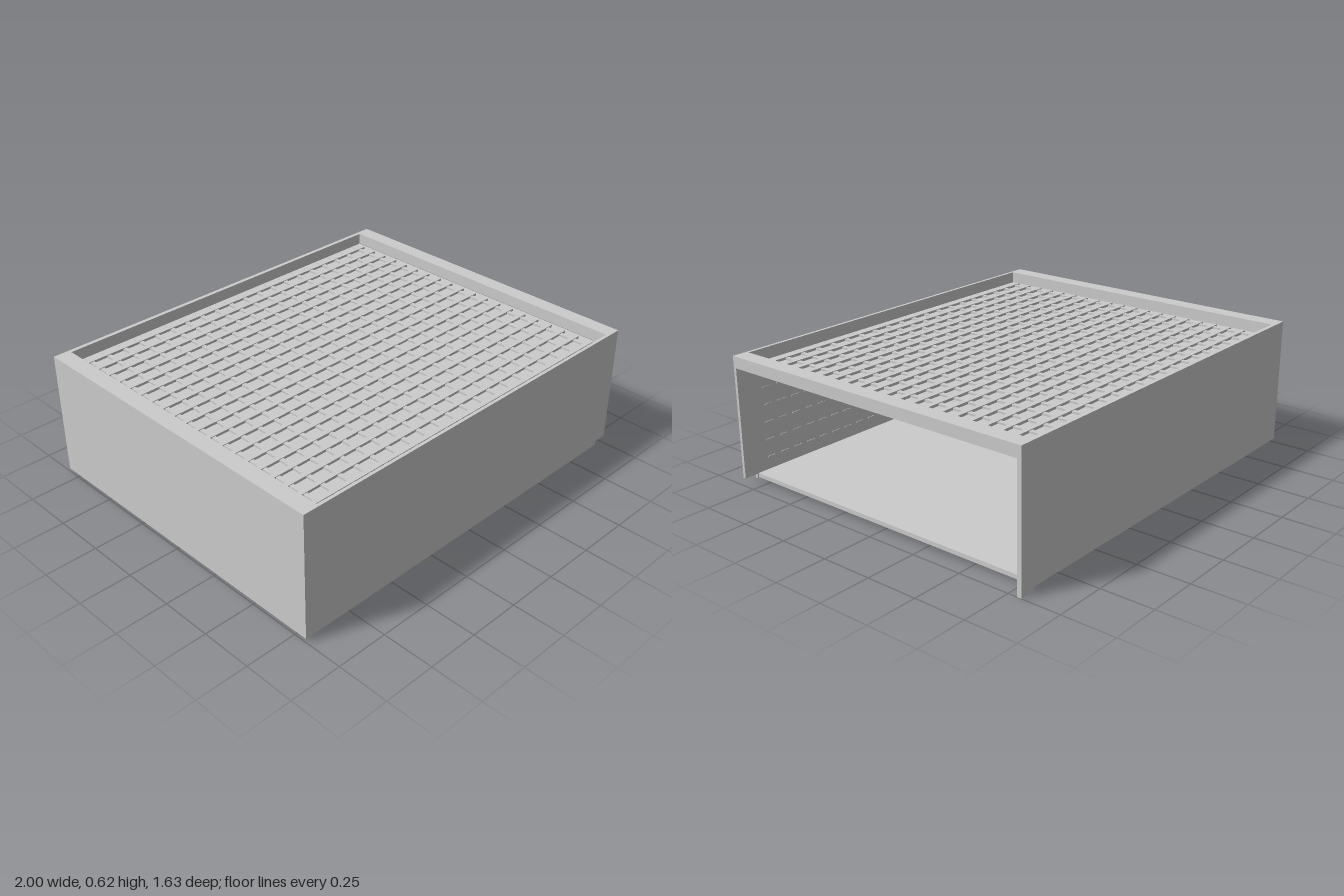
import * as THREE from 'three';
import { mergeGeometries } from 'three/addons/utils/BufferGeometryUtils.js';

const material = new THREE.MeshStandardMaterial({ color: 0xcccccc, flatShading: true, side: THREE.DoubleSide });

// Box given by its lower and upper limits on each axis
function block(x0, x1, y0, y1, z0, z1) {
  return new THREE.BoxGeometry(x1 - x0, y1 - y0, z1 - z0)
    .translate((x0 + x1) / 2, (y0 + y1) / 2, (z0 + z1) / 2);
}

// Remove the downward face, leaving a hollow panel open at the bottom
function openBelow(geometry) {
  const index = Array.from(geometry.index.array);
  index.splice(18, 6);
  geometry.setIndex(index);
  return geometry;
}

// Wall outline in x and y, extruded from z0 to z1
function profileWall(points, z0, z1) {
  const shape = new THREE.Shape(points.map(([x, y]) => new THREE.Vector2(x, y)));
  return new THREE.ExtrudeGeometry(shape, { depth: z1 - z0, bevelEnabled: false }).translate(0, 0, z0);
}

export function createModel() {
  const model = new THREE.Group();
  const add = (name, geometry) => {
    const mesh = new THREE.Mesh(geometry, material);
    mesh.name = name;
    model.add(mesh);
  };

  const bottom = 0.018, top = 0.625;
  const front = 0.815, frontInner = 0.8, back = -0.815, backInner = -0.795;
  const endInner = -0.92, beamInner = 0.925;

  // Front wall, notched at its lower open end
  add('frontWall', profileWall([
    [-1, bottom], [0.93, bottom], [0.93, 0.04], [1, 0.04], [1, top], [-1, top],
  ], frontInner, front));

  // Back wall, with a small foot at its open end
  add('backWall', profileWall([
    [-1, bottom], [beamInner, bottom], [beamInner, 0], [1, 0], [1, top], [-1, top],
  ], back, backInner));

  // Hollow closed end and the beam above the open end
  add('closedEnd', openBelow(block(-1, endInner, bottom, top, backInner, frontInner)));
  add('openEndBeam', block(beamInner, 1, 0.57, top, backInner, frontInner));

  // Floor and recessed top deck
  add('floor', block(endInner, beamInner, 0.022, 0.042, backInner, frontInner));
  add('deck', block(endInner, beamInner, 0.56, 0.568, backInner, frontInner));

  // Shallow grid of bars over the deck
  const bars = [];
  const columns = 20, rows = 20;
  for (let i = 0; i < columns; i++) {
    const x = -0.86 + (i * 1.72) / (columns - 1);
    bars.push(block(x - 0.01, x + 0.01, 0.568, 0.577, -0.77, 0.77));
  }
  for (let i = 0; i < rows; i++) {
    const z = -0.74 + (i * 1.48) / (rows - 1);
    bars.push(block(-0.89, 0.895, 0.568, 0.58, z - 0.012, z + 0.012));
  }
  add('deckGrid', mergeGeometries(bars));

  // Thin upright ribs on the inside of the closed end
  const ribs = [0.65, 0.42, 0.345, 0.04, -0.035, -0.26, -0.34, -0.41, -0.64]
    .map((z) => block(endInner, endInner + 0.005, 0.042, 0.56, z - 0.003, z + 0.003));
  add('endRibs', mergeGeometries(ribs));

  // Rows of short raised strips inside the long walls
  const strips = [];
  for (const y of [0.1, 0.185, 0.27, 0.355, 0.44]) {
    for (let x = -0.86; x < 0.88; x += 0.08) {
      strips.push(block(x, x + 0.045, y, y + 0.006, frontInner - 0.003, frontInner));
      strips.push(block(x, x + 0.045, y, y + 0.006, backInner, backInner + 0.003));
    }
  }
  add('wallStrips', mergeGeometries(strips));

  return model;
}
